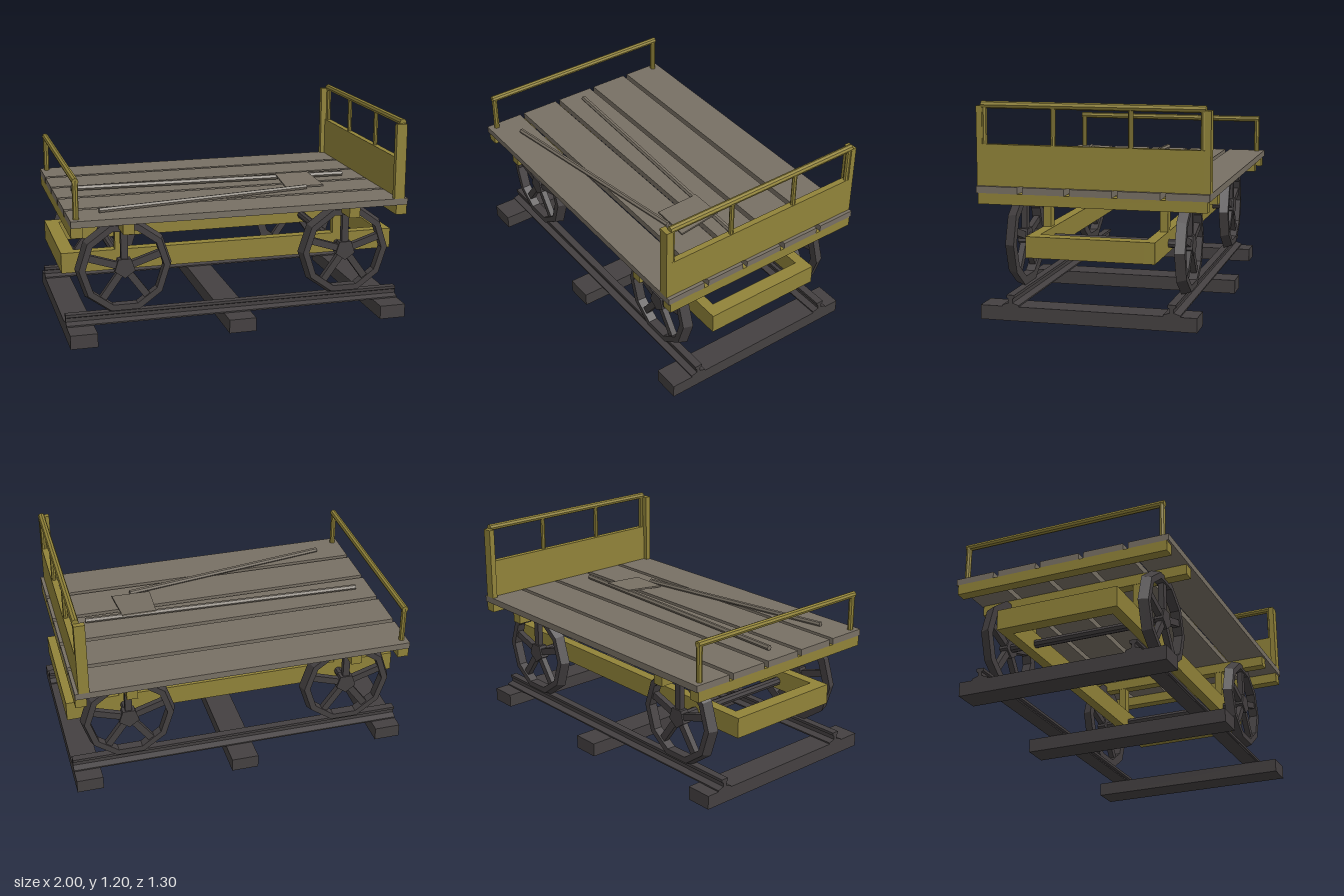
import * as THREE from 'three';

const material = (name, color) => {
  const m = new THREE.MeshStandardMaterial({ color });
  m.name = name;
  return m;
};

export function createModel() {
  const model = new THREE.Group();
  model.name = 'railTrolley';
  const yellow = material('ochrePaint', 0x918339);
  const wood = material('weatheredWood', 0x787064);
  const iron = material('darkIron', 0x444041);

  const add = (name, geometry, mat, parent = model) => {
    const mesh = new THREE.Mesh(geometry, mat);
    mesh.name = name;
    parent.add(mesh);
    return mesh;
  };
  // Box given by its limits on each axis
  const box = (name, mat, [x0, x1], [y0, y1], [z0, z1], parent = model) => {
    const mesh = add(name, new THREE.BoxGeometry(x1 - x0, y1 - y0, z1 - z0), mat, parent);
    mesh.position.set((x0 + x1) / 2, (y0 + y1) / 2, (z0 + z1) / 2);
    return mesh;
  };
  // Faceted round bar between two points
  const bar = (name, mat, a, b, radius, sides = 8) => {
    const from = new THREE.Vector3(...a), to = new THREE.Vector3(...b);
    const dir = to.clone().sub(from);
    const geo = new THREE.CylinderGeometry(radius, radius, dir.length(), sides).toNonIndexed();
    geo.computeVertexNormals();
    const mesh = add(name, geo, mat);
    mesh.position.copy(from).add(to).multiplyScalar(0.5);
    mesh.quaternion.setFromUnitVectors(new THREE.Vector3(0, 1, 0), dir.normalize());
    return mesh;
  };

  // Sleepers, slightly uneven in length
  box('sleeper', iron, [-1, -0.845], [0, 0.08], [-0.575, 0.635]);
  box('sleeper', iron, [-0.08, 0.08], [0, 0.08], [-0.635, 0.62]);
  box('sleeper', iron, [0.845, 1], [0, 0.08], [-0.59, 0.625]);

  // Rails with foot, web and head
  const half = [[0.047, 0.08], [0.047, 0.088], [0.011, 0.1], [0.011, 0.122], [0.022, 0.128], [0.022, 0.144]];
  const outline = [...half, ...half.map(([x, y]) => [-x, y]).reverse()];
  const railShape = new THREE.Shape(outline.map(([x, y]) => new THREE.Vector2(x, y)));
  for (const s of [-1, 1]) {
    const geo = new THREE.ExtrudeGeometry(railShape, { depth: 2, bevelEnabled: false });
    geo.translate(0, 0, -1).rotateY(Math.PI / 2);
    add('rail', geo, iron).position.z = s * 0.452;
  }

  // Ten-sided wheels with a tapered tread and five spokes
  const makeWheel = () => {
    const wheel = new THREE.Group();
    wheel.name = 'wheel';
    const profile = [[0.28, -0.027], [0.262, 0.027], [0.226, 0.027], [0.226, -0.027], [0.28, -0.027]];
    const rim = new THREE.LatheGeometry(profile.map(([r, y]) => new THREE.Vector2(r, y)), 10, Math.PI / 10)
      .rotateX(Math.PI / 2).toNonIndexed();
    rim.computeVertexNormals();
    add('wheelRim', rim, iron, wheel);
    const hub = new THREE.CylinderGeometry(0.062, 0.062, 0.052, 5).rotateX(Math.PI / 2).toNonIndexed();
    hub.computeVertexNormals();
    add('wheelHub', hub, iron, wheel);
    for (let i = 0; i < 5; i++) {
      const spoke = new THREE.BoxGeometry(0.04, 0.2, 0.034);
      spoke.translate(0, 0.14, 0).rotateZ(i * Math.PI * 2 / 5);
      add('spoke', spoke, iron, wheel);
    }
    return wheel;
  };
  for (const x of [-0.66, 0.66]) {
    bar('axle', iron, [x, 0.407, -0.46], [x, 0.407, 0.46], 0.025);
    for (const s of [-1, 1]) {
      const wheel = makeWheel();
      wheel.position.set(x, 0.407, s * 0.478);
      if (s < 0) wheel.rotation.y = Math.PI;
      model.add(wheel);
      // Uprights between frame and deck
      const z = [s * 0.315, s * 0.36].sort((a, b) => a - b);
      box('framePost', yellow, [x - 0.03, x + 0.03], [0.475, 0.64], z);
    }
    box('bolster', yellow, [x - 0.032, x + 0.032], [0.64, 0.7], [-0.637, 0.637]);
  }

  // Lower frame
  for (const s of [-1, 1]) {
    const z = [s * 0.3, s * 0.36].sort((a, b) => a - b);
    box('frameSide', yellow, [-1, 1], [0.357, 0.475], z);
    const x = [s * 0.92, s].sort((a, b) => a - b);
    box('frameEnd', yellow, x, [0.357, 0.475], [-0.3, 0.3]);
    const xb = [s * 0.915, s * 0.98].sort((a, b) => a - b);
    box('deckEndBeam', yellow, xb, [0.64, 0.7], [-0.637, 0.637]);
  }

  // Deck planks
  for (let i = -2; i <= 2; i++) {
    const z = i * 0.265;
    box('deckPlank', wood, [-0.98, 0.98], [0.7, 0.738], [z - 0.118, z + 0.118]);
  }

  // Tall end: board, corner posts and railing
  box('headboard', yellow, [0.925, 0.96], [0.738, 0.967], [-0.645, 0.645]);
  for (const s of [-1, 1]) {
    const z = [s * 0.615, s * 0.648].sort((a, b) => a - b);
    box('cornerPost', yellow, [0.898, 0.96], [0.738, 1.175], z);
    bar('railingPost', yellow, [0.945, 0.95, s * 0.605], [0.945, 1.18, s * 0.605], 0.015);
    bar('railingUpright', yellow, [0.945, 0.95, s * 0.215], [0.945, 1.18, s * 0.215], 0.014);
    // Low end posts
    bar('lowRailingPost', yellow, [-0.945, 0.738, s * 0.6], [-0.945, 0.955, s * 0.6], 0.017);
  }
  bar('railingTop', yellow, [0.945, 1.181, -0.62], [0.945, 1.181, 0.62], 0.02);
  bar('lowRailingTop', yellow, [-0.945, 0.951, -0.615], [-0.945, 0.951, 0.615], 0.019);

  // Tools lying on the deck
  bar('longPole', wood, [-0.88, 0.758, -0.008], [0.8, 0.758, 0.045], 0.016, 6);
  bar('shovelHandle', wood, [-0.8, 0.753, 0.505], [0.48, 0.753, 0.295], 0.015, 6);
  const bladeShape = new THREE.Shape([[0.375, -0.02], [0.36, -0.275], [0.595, -0.28], [0.58, -0.02]]
    .map(([x, y]) => new THREE.Vector2(x, y)));
  const blade = new THREE.ExtrudeGeometry(bladeShape, { depth: 0.01, bevelEnabled: false });
  blade.rotateX(-Math.PI / 2);
  // Blade slopes from the pole down to the deck
  const p = blade.attributes.position;
  for (let i = 0; i < p.count; i++) p.setY(i, p.getY(i) + 0.766 - 0.08 * (p.getZ(i) - 0.02));
  blade.computeVertexNormals();
  add('shovelBlade', blade, wood);

  return model;
}
